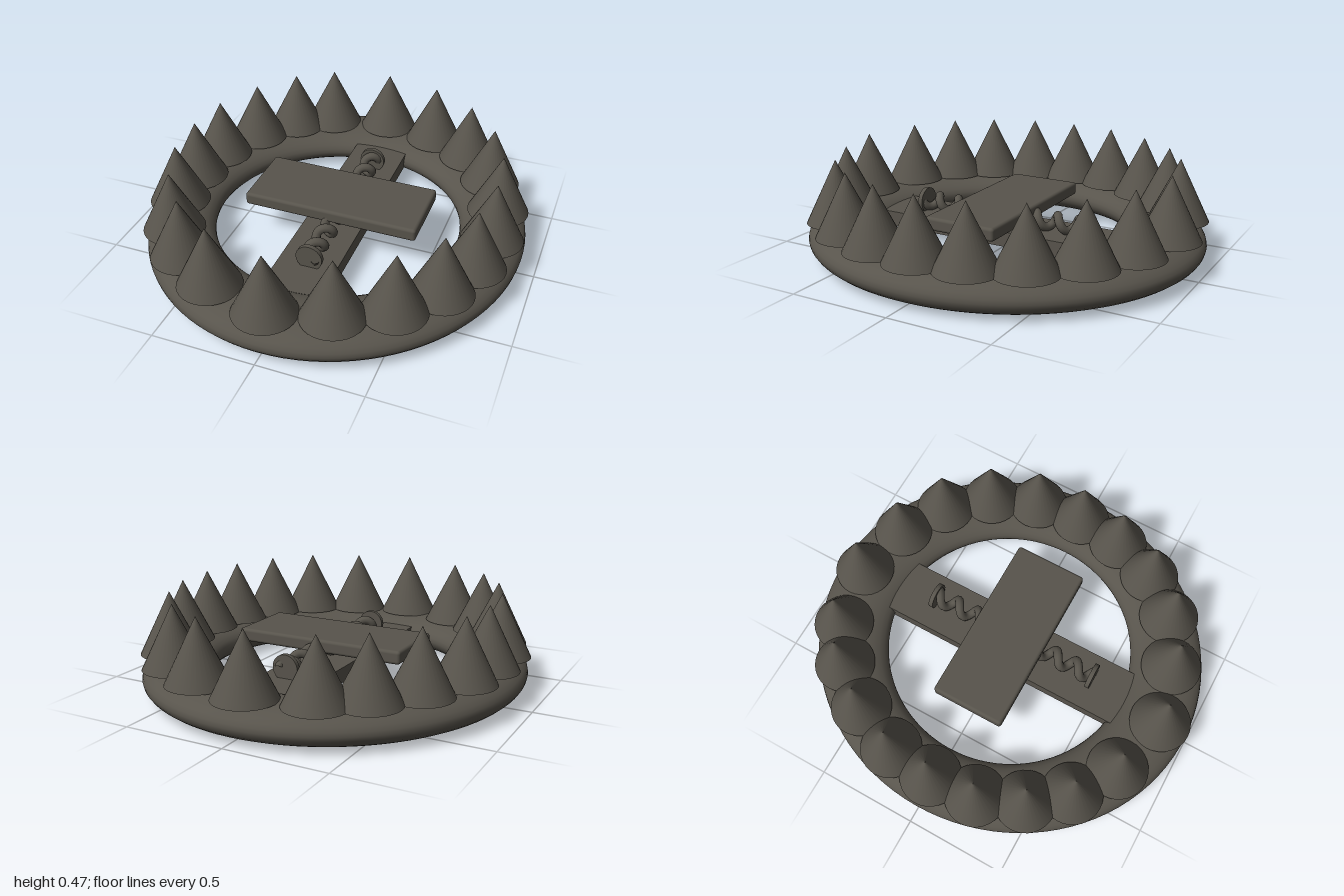
import * as THREE from 'three';
import { mergeVertices } from 'three/addons/utils/BufferGeometryUtils.js';
import { RoundedBoxGeometry } from 'three/addons/geometries/RoundedBoxGeometry.js';

const iron = new THREE.MeshStandardMaterial({ color: 0x58544c });
iron.name = 'dark iron';

function part(parent, name, geometry, x = 0, y = 0, z = 0) {
  const mesh = new THREE.Mesh(geometry, iron);
  mesh.name = name;
  mesh.position.set(x, y, z);
  parent.add(mesh);
  return mesh;
}

// Flattened oval ring, a little wider front to back
function ringGeometry() {
  let g = new THREE.TorusGeometry(2, 1, 28, 96);
  g.rotateX(-Math.PI / 2);
  g.deleteAttribute('normal');
  g.deleteAttribute('uv');
  const p = g.attributes.position;
  for (let i = 0; i < p.count; i++) {
    const x = p.getX(i), z = p.getZ(i);
    const r = Math.hypot(x, z), u = r - 2;
    p.setXYZ(i, (0.77 + 0.16 * u) * x / r, p.getY(i) * 0.086, (0.805 + 0.185 * u) * z / r);
  }
  g = mergeVertices(g, 1e-5);
  g.computeVertexNormals();
  return g;
}

// Coil running along z
class Coil extends THREE.Curve {
  constructor(radius, length, turns) {
    super();
    Object.assign(this, { radius, length, turns });
  }
  getPoint(t, target = new THREE.Vector3()) {
    const a = t * this.turns * Math.PI * 2;
    return target.set(this.radius * Math.cos(a), this.radius * Math.sin(a), (t - 0.5) * this.length);
  }
}

export function createModel() {
  const model = new THREE.Group();
  model.name = 'jaw trap';

  part(model, 'ring', ringGeometry(), 0, 0.091, 0);

  // Teeth around the ring, as [x, z] of each tip
  const teeth = new THREE.Group();
  teeth.name = 'teeth';
  model.add(teeth);
  const tips = [
    [-0.015, -0.845], [0.27, -0.785], [0.495, -0.66], [0.66, -0.47], [0.755, -0.24],
    [0.78, 0], [0.75, 0.235], [0.66, 0.46], [0.505, 0.645], [0.27, 0.77],
    [-0.015, 0.845], [-0.32, 0.765], [-0.53, 0.63], [-0.67, 0.455], [-0.76, 0.235],
    [-0.78, 0], [-0.755, -0.235], [-0.65, -0.47], [-0.5, -0.66], [-0.32, -0.78],
  ];
  const tooth = new THREE.ConeGeometry(0.15, 0.306, 32);
  for (const [x, z] of tips) part(teeth, 'tooth', tooth, x, 0.327, z);

  // Cross bar under the trigger plate
  part(model, 'crossBar', new THREE.BoxGeometry(0.285, 0.075, 1.3), 0.015, 0.098, 0);
  part(model, 'triggerPlate', new RoundedBoxGeometry(0.875, 0.065, 0.37, 3, 0.015), 0.015, 0.224, -0.004);

  // Spring with a round cap at each end
  const spring = new THREE.Group();
  spring.name = 'spring';
  spring.position.set(0.03, 0.185, 0.005);
  model.add(spring);
  part(spring, 'coil', new THREE.TubeGeometry(new Coil(0.032, 0.9, 8), 260, 0.022, 10, false));
  const cap = new THREE.CylinderGeometry(0.065, 0.065, 0.022, 28).rotateX(Math.PI / 2);
  for (const s of [-1, 1]) part(spring, 'springCap', cap, 0, 0, s * 0.445);

  return model;
}
